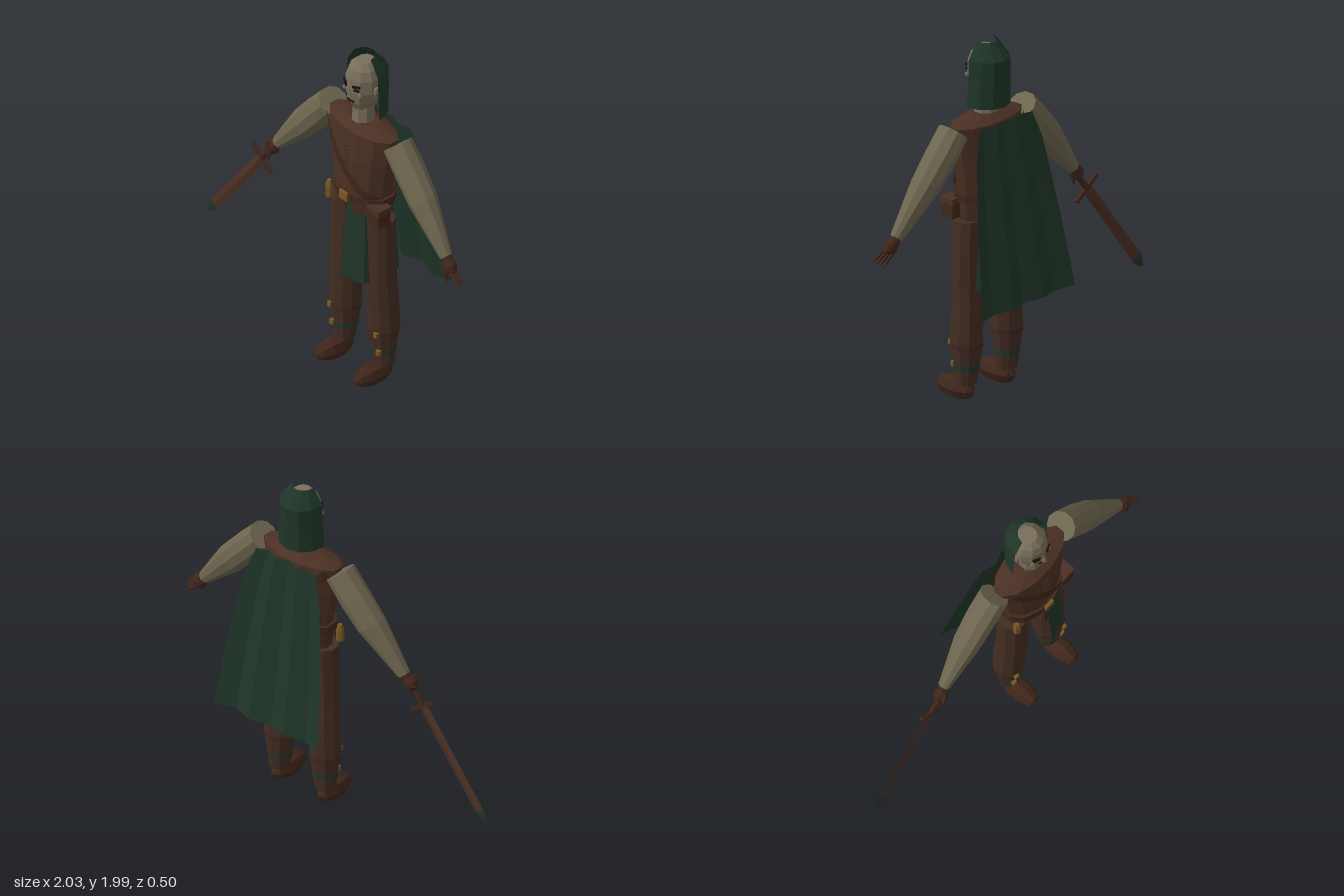
import * as THREE from 'three';

const CX = 0.214; // body centre line; the sword pushes the body off the origin

const mat = (name, color, double) => {
  const m = new THREE.MeshStandardMaterial({ color });
  m.name = name;
  if (double) m.side = THREE.DoubleSide;
  return m;
};

// Faceted normals for any geometry
function flat(geo) {
  const g = geo.index ? geo.toNonIndexed() : geo;
  g.computeVertexNormals();
  return g;
}

// Surface through a (rows + 1) x (cols + 1) lattice of points, with optional fan caps
function lattice(rows, cols, point, caps = []) {
  const pos = [], idx = [], w = cols + 1;
  for (let i = 0; i <= rows; i++) for (let j = 0; j <= cols; j++) pos.push(...point(i, j));
  for (let i = 0; i < rows; i++) for (let j = 0; j < cols; j++) {
    const a = i * w + j, c = a + w;
    idx.push(a, a + 1, c, a + 1, c + 1, c);
  }
  caps.forEach((centre, k) => {
    const m = pos.length / 3, start = k ? rows * w : 0;
    pos.push(...centre);
    for (let j = 0; j < cols; j++) {
      if (k) idx.push(m, start + j, start + j + 1);
      else idx.push(m, start + j + 1, start + j);
    }
  });
  const g = new THREE.BufferGeometry();
  g.setAttribute('position', new THREE.Float32BufferAttribute(pos, 3));
  g.setIndex(idx);
  return flat(g);
}

// Stack of elliptical rings [y, x, z, rx, rz], listed from top to bottom
function loft(rings, sides, from = Math.PI / sides, arc = Math.PI * 2) {
  const point = (i, j) => {
    const [y, x, z, rx, rz] = rings[i], a = from + (arc * j) / sides;
    return [x + rx * Math.cos(a), y, z + rz * Math.sin(a)];
  };
  const centre = ([y, x, z]) => [x, y, z];
  const closed = arc > 6.28;
  return lattice(rings.length - 1, sides, point, closed ? [centre(rings[0]), centre(rings.at(-1))] : []);
}

export function createModel() {
  const model = new THREE.Group();
  const tunic = mat('tunic brown', 0x4b3024);
  const trousers = mat('trouser brown', 0x432d22);
  const leather = mat('dark leather', 0x3f261b, true);
  const linen = mat('linen', 0x6e664f);
  const skin = mat('skin', 0x786e5a);
  const green = mat('cloak green', 0x1f3528, true);
  const gold = mat('brass', 0x7a5722);
  const dark = mat('dark hair', 0x17120f);

  const add = (name, geo, material, x = 0, y = 0, z = 0, parent = model) => {
    const m = new THREE.Mesh(geo, material);
    m.name = name;
    m.position.set(x, y, z);
    parent.add(m);
    return m;
  };
  const box = (w, h, d) => flat(new THREE.BoxGeometry(w, h, d));
  const ball = (rx, ry, rz, s = 8, r = 5) =>
    flat(new THREE.SphereGeometry(1, s, r).rotateX(Math.PI / 2).scale(rx, ry, rz));

  // Torso, hips and neck
  const BZ = 0.055;
  const chest = [[1.6, 0.11, 0.06], [1.565, 0.25, 0.11], [1.4, 0.222, 0.125], [1.16, 0.183, 0.125]];
  add('torso', loft(chest.map(([y, rx, rz]) => [y, CX, BZ, rx, rz]), 12), tunic);
  add('hips', loft([[1.16, CX, BZ, 0.185, 0.125], [1.02, CX, BZ, 0.18, 0.11], [0.94, CX, BZ, 0.07, 0.07]], 12), trousers);
  add('neck', loft([[1.72, CX, 0.06, 0.055, 0.055], [1.59, CX, 0.06, 0.064, 0.064]], 8), skin);

  // Head and face
  const skull = [[1.965, 0.045, 0.05], [1.93, 0.08, 0.085], [1.88, 0.1, 0.1], [1.8, 0.1, 0.105],
    [1.73, 0.08, 0.095], [1.67, 0.048, 0.065]];
  add('head', loft(skull.map(([y, rx, rz]) => [y, CX, 0.05, rx, rz]), 10), skin);
  add('nose', flat(new THREE.ConeGeometry(0.018, 0.07, 4)), skin, CX, 1.81, 0.158);
  add('mouth', box(0.05, 0.008, 0.008), dark, CX, 1.745, 0.147);
  for (const s of [-1, 1]) {
    add('eye', box(0.032, 0.012, 0.009), dark, CX + s * 0.045, 1.827, 0.145).rotation.y = s * 0.4;
    const brow = add('eyebrow', box(0.045, 0.012, 0.009), dark, CX + s * 0.045, 1.85, 0.147);
    brow.rotation.set(0, s * 0.4, s * 0.12);
    add('cheek', ball(0.014, 0.016, 0.01, 6, 4), skin, CX + s * 0.06, 1.795, 0.136);
    add('ear', ball(0.014, 0.035, 0.022, 6, 4), skin, CX + s * 0.103, 1.81, 0.055);
  }

  // Hood: open half shell behind the face
  const hood = [[2.0, 0.065, 0.07], [1.91, 0.122, 0.145], [1.8, 0.126, 0.145], [1.65, 0.135, 0.14]];
  add('hood', loft(hood.map(([y, rx, rz]) => [y, CX, 0.065, rx, rz]), 6, Math.PI, Math.PI), green);

  // Pleated cape
  const drop = [[1.57, 0.2, -0.075, 0.012], [1.42, 0.25, -0.1, 0.014], [1.0, 0.31, -0.165, 0.018], [0.595, 0.35, -0.23, 0.021]];
  add('cape', lattice(3, 6, (i, j) => {
    const [y, half, z, pleat] = drop[i];
    return [CX + half * (j / 3 - 1), y - (j % 2 && i === 3 ? 0.012 : 0), z + (j % 2 ? pleat : -pleat)];
  }), green);

  // Half skirt wrapped round the left hip
  add('halfSkirt', loft([[1.13, CX, 0.05, 0.155, 0.125], [0.65, CX, 0.05, 0.188, 0.172]], 4,
    -Math.PI / 2, Math.PI), green);

  // Belt, buckle, pouch and small flask
  add('belt', loft([[1.18, CX, BZ, 0.205, 0.14], [1.135, CX, BZ, 0.205, 0.14]], 12), leather);
  add('beltBuckle', box(0.06, 0.05, 0.015), gold, CX, 1.158, 0.195);
  add('beltTail', box(0.025, 0.22, 0.01), leather, CX - 0.01, 1.03, 0.178);
  add('pouch', box(0.085, 0.09, 0.08), leather, 0.405, 1.09, 0.115);
  add('pouchFlap', box(0.095, 0.035, 0.09), tunic, 0.405, 1.14, 0.115);
  add('flask', loft([[1.13, 0, 0, 0.012, 0.012], [1.1, 0, 0, 0.022, 0.022], [1.03, 0, 0, 0.022, 0.022]], 6), gold, 0.03, 0, 0.135);

  // Shoulder strap following the chest, front and back
  const chestAt = (y) => {
    const k = Math.max(1, chest.findIndex((r) => y >= r[0])), [a, b] = [chest[k - 1], chest[k]];
    const t = (a[0] - y) / (a[0] - b[0]);
    return [a[1] + (b[1] - a[1]) * t, a[2] + (b[2] - a[2]) * t];
  };
  for (const s of [1, -1]) {
    add(s > 0 ? 'strapFront' : 'strapBack', lattice(10, 1, (i, j) => {
      const dx = -0.215 + 0.039 * i + (j - 0.5) * 0.032, y = 1.55 - 0.039 * i + (j - 0.5) * 0.036;
      const [rx, rz] = chestAt(Math.max(1.16, Math.min(1.56, y)));
      const z = rz * Math.sqrt(Math.max(0, 1 - (dx / rx) ** 2)) + 0.014;
      return [CX + dx, y, BZ + s * z];
    }), leather);
  }

  // Tunic lacing
  for (let i = 0; i < 4; i++) {
    add('lace', box(0.045, 0.006, 0.008), leather, CX, 1.36 + i * 0.035, 0.178 - i * 0.002).rotation.z = i % 2 ? 0.5 : -0.5;
  }

  for (const s of [-1, 1]) {
    const side = s > 0 ? 'left' : 'right';
    const at = (dx) => CX + s * dx;

    // Leg and foot
    const leg = [[1.03, 0.137, 0.06, 0.08, 0.082], [0.65, 0.141, 0.06, 0.087, 0.082], [0.52, 0.146, 0.053, 0.086, 0.086],
      [0.35, 0.152, 0.052, 0.09, 0.084], [0.24, 0.152, 0.05, 0.074, 0.07], [0.11, 0.155, 0.052, 0.058, 0.054]];
    add(side + 'Leg', loft(leg.map(([y, dx, ...r]) => [y, at(dx), ...r]), 10), trousers);
    add(side + 'Foot', ball(0.06, 0.066, 0.127), leather, at(0.155), 0.068, 0.125);

    // Boot straps with buckles
    [[0.33, 0.091, 0.086, leather], [0.21, 0.073, 0.07, green]].forEach(([y, rx, rz, m]) => {
      add(side + 'BootStrap', loft([[y + 0.012, at(0.152), 0.052, rx, rz], [y - 0.012, at(0.152), 0.052, rx, rz]], 10), m);
      add(side + 'BootBuckle', box(0.026, 0.028, 0.02), gold, at(0.185), y, 0.045 + rz);
    });

    // Sleeved arm, built hanging down and then swung outward
    const arm = new THREE.Group();
    arm.name = side + 'Arm';
    arm.position.set(at(0.259), 1.555, 0.045);
    arm.rotation.z = s * 0.707;
    model.add(arm);
    add(side + 'Sleeve', loft([[0, 0, 0, 0.08, 0.085], [-0.16, 0, 0, 0.086, 0.085], [-0.32, 0, 0.005, 0.084, 0.078],
      [-0.5, 0, 0.015, 0.058, 0.052], [-0.635, 0, 0.022, 0.036, 0.034]], 10), linen, 0, 0, 0, arm);
    add(side + 'Cuff', loft([[-0.62, 0, 0.022, 0.03, 0.03], [-0.66, 0, 0.024, 0.03, 0.03]], 8), leather, 0, 0, 0, arm);
    add(side + 'Hand', ball(0.045, 0.05, 0.036), leather, 0, -0.69, 0.03, arm);

    // Open fingers on the left, curled round the grip on the right
    for (let i = 0; i < 4; i++) {
      const f = add(side + 'Finger', loft([[0, 0, 0, 0.011, 0.009], [-0.05, 0, 0, 0.01, 0.008], [-0.085, 0, 0, 0.004, 0.004]], 5),
        leather, (i - 1.5) * 0.007, s > 0 ? -0.72 : -0.67 - i * 0.014, s > 0 ? (i - 1.5) * 0.016 + 0.028 : 0.062, arm);
      f.rotation.z = s > 0 ? 0.2 + i * 0.06 : 1.3;
      if (s < 0) { f.scale.y = 0.55; f.position.x -= 0.02; }
    }
    const thumb = add(side + 'Thumb', loft([[0, 0, 0, 0.012, 0.011], [-0.06, 0, 0, 0.006, 0.006]], 5), leather, -s * 0.02, -0.7, 0.055, arm);
    thumb.rotation.z = -s * 0.4;
  }

  // Sword in the right hand
  const sword = new THREE.Group();
  sword.name = 'sword';
  sword.position.set(-0.575, 0.915, 0.08);
  sword.rotation.z = -0.645;
  model.add(sword);
  add('grip', loft([[0.17, 0, 0, 0.014, 0.014], [0, 0, 0, 0.018, 0.016]], 6), leather, 0, 0, 0, sword);
  add('pommel', ball(0.022, 0.022, 0.02, 6, 4), leather, 0, 0.18, 0, sword);
  add('crossguard', box(0.19, 0.018, 0.022), leather, 0, 0, 0, sword);
  const diamond = (rings) => loft(rings.map(([y, w, d]) => [y, 0, 0, w, d]), 4, 0);
  add('blade', diamond([[-0.01, 0.025, 0.01], [-0.05, 0.032, 0.01], [-0.63, 0.032, 0.008]]), tunic, 0, 0, 0, sword);
  add('bladeTip', diamond([[-0.63, 0.032, 0.008], [-0.665, 0.03, 0.007], [-0.705, 0.006, 0.003]]), green, 0, 0, 0, sword);

  return model;
}
